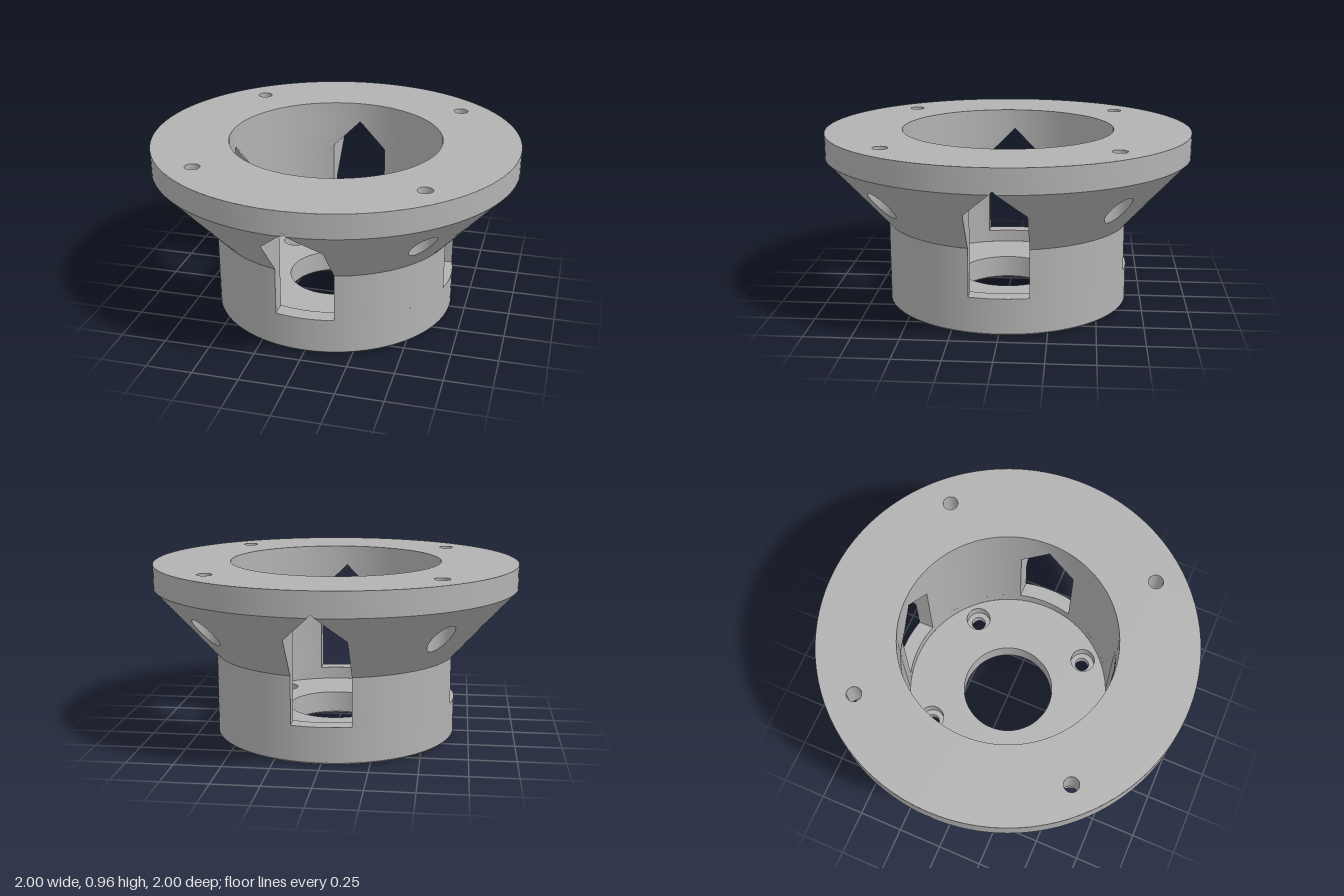
import * as THREE from 'three';
import { mergeGeometries } from 'three/addons/utils/BufferGeometryUtils.js';

const TAU = Math.PI * 2;
// Main radii and heights
const R_BODY = 0.665, R_IN = 0.58, R_TOP = 1, R_HUB = 0.26;
const Y_FLOOR = 0.13, Y_SILL = 0.2, Y_CONE = 0.46, Y_FLANGE = 0.83, Y_TOP = 0.96;
const Y_SHOULDER = 0.69, Y_PEAK = 0.847, Y_SEAT = 0.76;
const BASE_BOLT = 0.342, FLANGE_BOLT = 0.597;

const lerp = THREE.MathUtils.lerp;
const slope = (Y_FLANGE - Y_CONE) / (R_TOP - R_BODY);
const coneY = r => Y_CONE + (r - R_BODY) * slope;
const outerR = y => THREE.MathUtils.clamp(R_BODY + (y - Y_CONE) / slope, R_BODY, R_TOP);
// Half width of the pointed window at height y
const halfWidth = y => THREE.MathUtils.clamp(Y_PEAK - y, 0, Y_PEAK - Y_SHOULDER);

// Point of one quadrant: f runs from one window edge (0) to the next (1)
function quadrantPoint(r, y, f) {
  const a = Math.asin(halfWidth(y) / r);
  const t = lerp(a, Math.PI / 2 - a, f);
  return new THREE.Vector3(r * Math.sin(t), y, r * Math.cos(t));
}

// Surface grid over indices 0..nu, 0..nv
function grid(nu, nv, fn) {
  const pos = [], idx = [];
  for (let j = 0; j <= nv; j++)
    for (let i = 0; i <= nu; i++) pos.push(...fn(i, j).toArray());
  for (let j = 0; j < nv; j++)
    for (let i = 0; i < nu; i++) {
      const a = j * (nu + 1) + i, b = a + 1, c = a + nu + 1, d = c + 1;
      idx.push(a, b, c, b, d, c);
    }
  const g = new THREE.BufferGeometry();
  g.setAttribute('position', new THREE.Float32BufferAttribute(pos, 3));
  g.setIndex(idx);
  g.computeVertexNormals();
  return g;
}

// Turned profile with a sharp edge at every point
function turned(points, segments) {
  return mergeGeometries(points.slice(1).map((p, i) =>
    new THREE.LatheGeometry([points[i], p].map(q => new THREE.Vector2(...q)), segments)));
}

// Flat disc with a centre hole and four bolt holes
function drilledDisc(radius, centre, boltAt, boltR, y, up) {
  const s = new THREE.Shape().absarc(0, 0, radius, 0, TAU);
  s.holes.push(new THREE.Path().absarc(0, 0, centre, 0, TAU, true));
  for (const x of [-1, 1]) for (const z of [-1, 1])
    s.holes.push(new THREE.Path().absarc(x * boltAt, z * boltAt, boltR, 0, TAU, true));
  return new THREE.ShapeGeometry(s, 48).rotateX(up ? -Math.PI / 2 : Math.PI / 2).translate(0, y, 0);
}

// Cone panel of one quadrant, meshed from its outline in to the bolt access hole
function conePanel() {
  const outline = [];
  const edge = (n, fn) => { for (let i = 0; i < n; i++) outline.push(fn(i / n)); };
  const at = (r, f) => quadrantPoint(r, coneY(r), f);
  edge(32, k => at(R_BODY, k));
  edge(24, k => at(lerp(R_BODY, R_TOP, k), 1));
  edge(48, k => at(R_TOP, 1 - k));
  edge(24, k => at(lerp(R_TOP, R_BODY, k), 0));
  outline.push(outline[0]);
  const rim = outline.map(p => {
    const d = new THREE.Vector2(p.x - FLANGE_BOLT, p.z - FLANGE_BOLT).setLength(0.07);
    const x = FLANGE_BOLT + d.x, z = FLANGE_BOLT + d.y;
    return new THREE.Vector3(x, coneY(Math.hypot(x, z)), z);
  });
  const n = outline.length - 1, rings = 14;
  const panel = grid(n, rings, (i, j) => {
    const p = outline[i].clone().lerp(rim[i], j / rings);
    p.y = coneY(Math.hypot(p.x, p.z));
    return p;
  });
  const bore = grid(n, 1, (i, j) => {
    const p = rim[i].clone();
    if (j) p.y = Y_SEAT;
    return p;
  });
  return { panel, bore };
}

export function createModel() {
  const root = new THREE.Group();
  root.name = 'flangedMount';
  const grey = new THREE.MeshStandardMaterial({ color: 0xb2b2b2, side: THREE.DoubleSide });
  grey.name = 'grey';
  const add = (parent, name, geometry, x = 0, z = 0) => {
    const m = new THREE.Mesh(geometry, grey);
    m.name = name;
    m.position.set(x, 0, z);
    parent.add(m);
  };

  // Base cup with chamfered edges
  const base = new THREE.Group();
  base.name = 'base';
  root.add(base);
  add(base, 'baseWall', turned([[0.655, 0], [R_BODY, 0.01], [R_BODY, Y_SILL]], 128));
  add(base, 'baseBottom', drilledDisc(0.655, R_HUB + 0.01, BASE_BOLT, 0.048, 0, false));
  add(base, 'baseFloor', drilledDisc(R_IN, R_HUB, BASE_BOLT, 0.07, Y_FLOOR, true));
  add(base, 'centreBore', turned([[R_HUB, Y_FLOOR], [R_HUB, 0.01], [R_HUB + 0.01, 0]], 96));
  add(base, 'baseInnerWall', turned([[R_IN, Y_SILL], [R_IN, Y_FLOOR]], 128));

  // Flange top face
  add(root, 'flangeTop', drilledDisc(R_TOP, R_IN, FLANGE_BOLT, 0.04, Y_TOP, true));

  // Bolt holes
  const baseBolt = turned([[0.07, Y_FLOOR], [0.07, 0.06], [0.04, 0.06], [0.04, 0.008], [0.048, 0]], 40);
  const flangeBolt = turned([[0.04, Y_TOP], [0.04, Y_SEAT], [0.07, Y_SEAT]], 40);
  for (const x of [-1, 1]) for (const z of [-1, 1]) {
    add(base, 'baseBoltHole', baseBolt, x * BASE_BOLT, z * BASE_BOLT);
    add(root, 'flangeBoltHole', flangeBolt, x * FLANGE_BOLT, z * FLANGE_BOLT);
  }

  // Quadrant parts between the windows
  const n = 40;
  const wall = (r, ys, inward) => grid(n, ys.length - 1, (i, j) =>
    quadrantPoint(r, ys[j], inward ? 1 - i / n : i / n));
  const reveal = (ys, f) => grid(1, ys.length - 1, (i, j) =>
    quadrantPoint((i === 1) === (f === 0) ? outerR(ys[j]) : R_IN, ys[j], f));
  const slant = Array.from({ length: 13 }, (_, i) => lerp(Y_SHOULDER, Y_FLANGE, i / 12)).concat(Y_PEAK);
  const sill = grid(12, 1, (i, j) => {
    const r = j ? R_IN : R_BODY;
    const t = Math.asin(halfWidth(Y_SILL) / r) * (i / 6 - 1);
    return new THREE.Vector3(r * Math.sin(t), Y_SILL, r * Math.cos(t));
  });
  const { panel, bore } = conePanel();
  const parts = {
    pillarWall: wall(R_BODY, [Y_SILL, Y_CONE], false),
    flangeRim: wall(R_TOP, [Y_FLANGE, Y_PEAK, Y_TOP], false),
    innerWall: wall(R_IN, [Y_SILL, Y_SHOULDER, Y_PEAK, Y_TOP], true),
    windowSides: mergeGeometries([0, 1].map(f => reveal([Y_SILL, Y_CONE, Y_SHOULDER], f))),
    windowPeak: mergeGeometries([0, 1].map(f => reveal(slant, f))),
    windowSill: sill,
    conePanel: panel,
    boltAccessBore: bore,
  };
  for (let q = 0; q < 4; q++) {
    const quadrant = new THREE.Group();
    quadrant.name = 'pillar' + (q + 1);
    quadrant.rotation.y = q * Math.PI / 2;
    for (const [name, geometry] of Object.entries(parts)) add(quadrant, name, geometry);
    root.add(quadrant);
  }
  return root;
}
